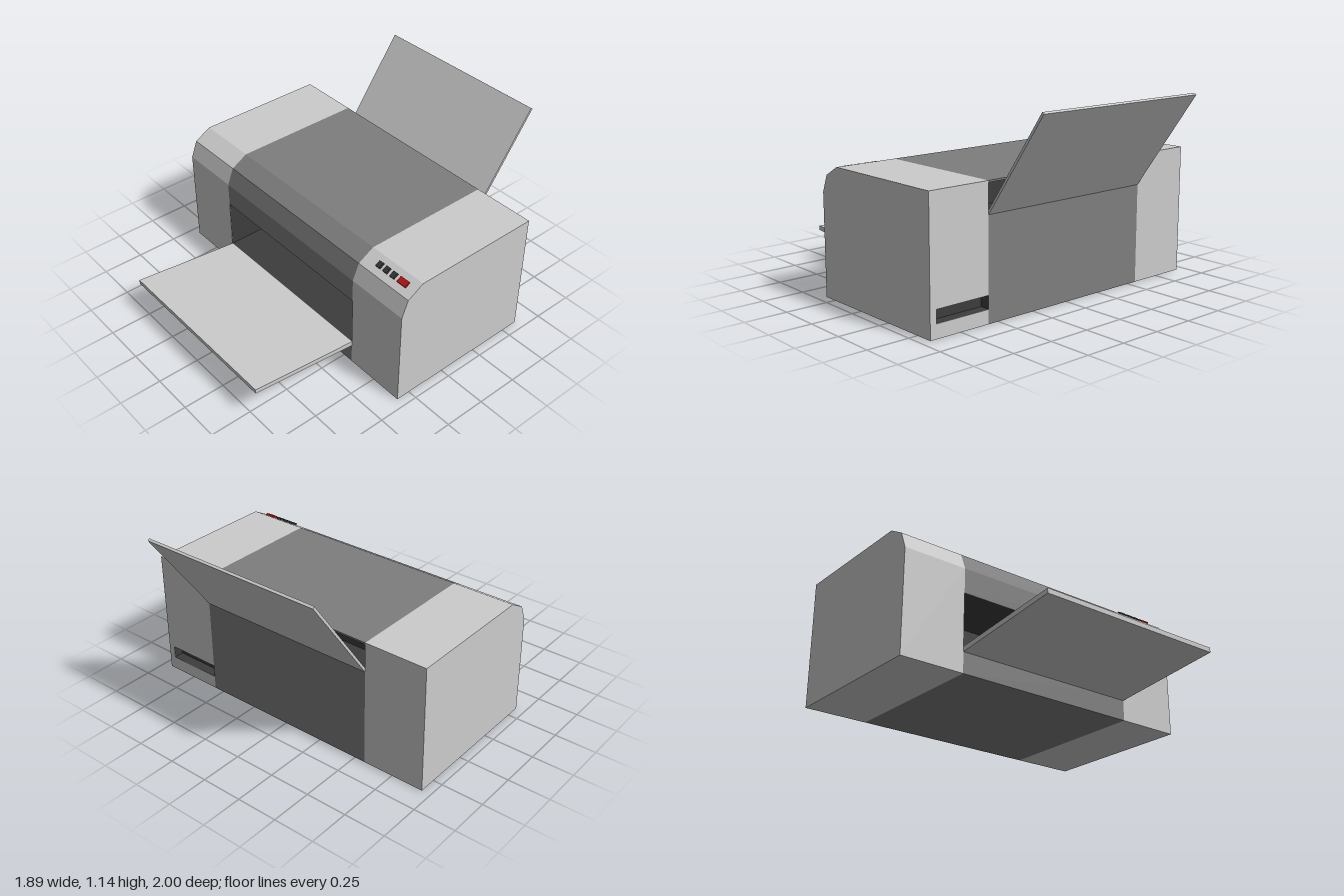
import * as THREE from 'three';

const HALF = 0.945;   // outer half width
const MID = 0.565;    // half width of the centre section
const FRONT = 0.335, BACK = -0.605, TOP = 0.757;

const mat = (color, side = THREE.FrontSide) =>
  new THREE.MeshStandardMaterial({ color, side });

// Extrudes a [z, y] side profile across x0..x1
function slab(name, points, x0, x1, material) {
  const shape = new THREE.Shape(points.map(([z, y]) => new THREE.Vector2(z, y)));
  const geo = new THREE.ExtrudeGeometry(shape, { depth: x1 - x0, bevelEnabled: false });
  geo.rotateY(-Math.PI / 2);
  geo.translate(x1, 0, 0);
  const mesh = new THREE.Mesh(geo, material);
  mesh.name = name;
  return mesh;
}

// Inward-facing lining of a recess, open at its front or back end
function lining(name, x0, x1, y0, y1, z0, z1, openFront, material) {
  const geo = new THREE.BoxGeometry(x1 - x0, y1 - y0, z1 - z0);
  const start = openFront ? 24 : 30;
  geo.setIndex([...geo.index.array].filter((_, i) => i < start || i >= start + 6));
  geo.clearGroups();
  geo.translate((x0 + x1) / 2, (y0 + y1) / 2, (z0 + z1) / 2);
  const mesh = new THREE.Mesh(geo, material);
  mesh.name = name;
  return mesh;
}

export function createModel() {
  const model = new THREE.Group();
  model.name = 'printer';
  const light = mat(0xcccccc);
  const grey = mat(0x7e7e7e);
  const inner = mat(0x3d3d3d, THREE.BackSide);

  // Faceted front shoulder and top, shared by all body sections
  const crown = [[FRONT, 0.6], [0.295, 0.7], [0.195, TOP], [BACK, TOP]];
  const profile = [[FRONT, 0], ...crown, [BACK, 0]];

  // Side housings; the left one has a socket slot in its back
  const slot = { y0: 0.08, y1: 0.155, z: BACK + 0.06, x: 0.905 };
  model.add(slab('rightHousing', profile, -HALF, -MID, light));
  const left = new THREE.Group();
  left.name = 'leftHousing';
  left.add(
    slab('leftHousingOuter', profile, slot.x, HALF, light),
    slab('leftHousingInner', [[FRONT, 0], ...crown,
      [BACK, slot.y1], [slot.z, slot.y1], [slot.z, slot.y0], [BACK, slot.y0],
      [BACK, 0]], MID, slot.x, light),
    lining('socketSlot', MID + 0.001, slot.x - 0.001, slot.y0 + 0.001, slot.y1 - 0.001,
      BACK, slot.z - 0.001, false, inner));
  model.add(left);

  // Centre section with the paper outlet in front and the feed opening behind
  const out = { y0: 0.15, y1: 0.455, z: -0.045 };
  const feed = { y0: 0.59, y1: 0.747, z: -0.45 };
  model.add(slab('centreBody', [
    [FRONT, 0], [FRONT, out.y0], [out.z, out.y0], [out.z, out.y1], [FRONT, out.y1],
    ...crown,
    [BACK, feed.y1], [feed.z, feed.y1], [feed.z, feed.y0], [BACK, feed.y0], [BACK, 0],
  ], -MID, MID, grey));
  const w = MID - 0.002;
  model.add(
    lining('paperOutlet', -w, w, out.y0 + 0.002, out.y1 - 0.002, out.z + 0.002, FRONT, true, inner),
    lining('paperFeed', -w, w, feed.y0 + 0.002, feed.y1 - 0.002, BACK, feed.z - 0.002, false, inner));

  // Paper trays
  model.add(slab('outputTray', [[FRONT, 0.12], [1, 0.195], [1, 0.222], [FRONT, 0.15]], -MID, MID, light));
  model.add(slab('paperSupport',
    [[BACK, 0.58], [BACK, 0.605], [-0.988, 1.142], [-1, 1.133]], -MID, MID, light));

  // Buttons on the sloped shoulder: three dark ones and a wide red one
  const dark = mat(0x333333), red = mat(0xb01414);
  const buttons = [[0.675, 0.03], [0.728, 0.03], [0.782, 0.03], [0.853, 0.062]];
  buttons.forEach(([x, width], i) => {
    const isPower = i === 3;
    const button = new THREE.Mesh(new THREE.BoxGeometry(width, 0.024, 0.036), isPower ? red : dark);
    button.name = isPower ? 'powerButton' : `button${i + 1}`;
    button.position.set(x, 0.7305, 0.243);
    button.rotation.x = Math.atan2(0.057, 0.1);
    model.add(button);
  });

  return model;
}
